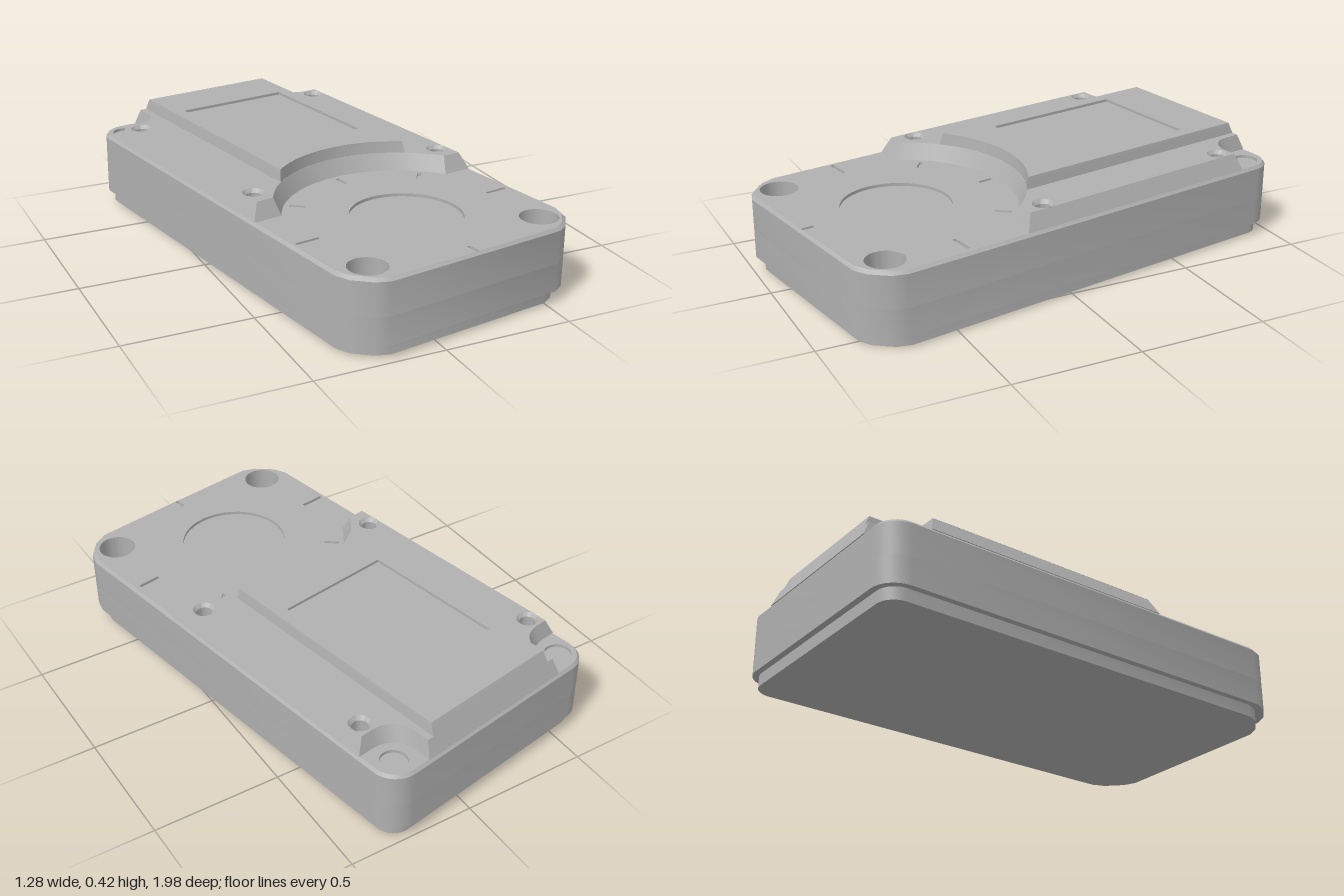
import * as THREE from 'three';
import { toCreasedNormals } from 'three/addons/utils/BufferGeometryUtils.js';

const W = 0.508, L = 0.938; // half width and half length
const DIAL = 0.535;         // z of the dial centre
const key = (x, y) => x.toFixed(4) + ',' + y.toFixed(4);

// Full symmetric outline from its +x half, listed from back to front as [x, z]
const mirror = (half) => [
  ...half,
  ...half.filter((p) => p[0] > 1e-6).reverse().map(([x, z]) => [-x, z]),
];

// Case outline: round back corners, softened chamfers at the front
function caseOutline(inset) {
  const w = W - inset, l = L - inset, r = 0.1 - inset, half = [];
  for (let i = 0; i <= 8; i++) {
    const a = (i / 8) * Math.PI / 2;
    half.push([w - r + r * Math.sin(a), -l + r - r * Math.cos(a)]);
  }
  half.push([w, l - 0.14], [w - 0.02, l - 0.085], [w - 0.08, l - 0.023], [w - 0.13, l]);
  return mirror(half);
}

// Arc around the dial, from x = xEnd to the centre line
function dialArc(radius, xEnd, n = 16) {
  const end = Math.asin(xEnd / radius), pts = [];
  for (let i = 0; i <= n; i++) {
    const a = end * (1 - i / n);
    pts.push([radius * Math.sin(a), DIAL - radius * Math.cos(a)]);
  }
  return pts;
}

// Raised deck outline: notched back corners and two arms around the dial
function deckOutline(top) {
  const s = top ? 1 : 0, half = [];
  half.push([0.335 - 0.015 * s, -0.932 + 0.027 * s]);
  for (let i = 0; i <= 6; i++) {
    const a = (i / 6) * Math.PI / 2;
    half.push([0.435 - 0.1 * Math.cos(a) - 0.015 * s, -0.86 + 0.1 * Math.sin(a) + 0.02 * s]);
  }
  const side = 0.502 - 0.03 * s;
  half.push([side, -0.76 + 0.02 * s], [side, 0.295 - 0.03 * s]);
  half.push(...(top ? dialArc(0.485, 0.4) : dialArc(0.455, 0.385)));
  return mirror(half);
}

const plateOutline = (back, x, radius) => mirror([[x, back], ...dialArc(radius, x)]);

const circle = (x, z, r) => new THREE.Path().absarc(x, -z, r, 0, Math.PI * 2, true);
const polygon = (pts) => new THREE.Path(pts.map(([x, z]) => new THREE.Vector2(x, -z)));

// Narrow radial slot around the dial; angle 0 points to the front
function slot(angle, radius, length) {
  const c = Math.cos(angle), s = Math.sin(angle);
  const corners = [[-1, -1], [-1, 1], [1, 1], [1, -1]];
  return polygon(corners.map(([i, j]) => {
    const r = radius + i * length / 2, t = j * 0.007;
    return [r * s + t * c, DIAL + r * c - t * s];
  }));
}

// Slab from y0 to y1 whose walls lean from the lower outline to the upper one
function slab(lower, upper, y0, y1, holes = []) {
  const shape = new THREE.Shape(lower.map(([x, z]) => new THREE.Vector2(x, -z)));
  shape.holes = holes;
  const geo = new THREE.ExtrudeGeometry(shape, { depth: y1 - y0, bevelEnabled: false, curveSegments: 24 });
  const target = new Map(lower.map(([x, z], i) => [key(x, -z), upper[i]]));
  const p = geo.attributes.position;
  for (let i = 0; i < p.count; i++) {
    const t = p.getZ(i) > 1e-4 && target.get(key(p.getX(i), p.getY(i)));
    if (t) p.setXY(i, t[0], -t[1]);
  }
  geo.rotateX(-Math.PI / 2).translate(0, y0, 0);
  return toCreasedNormals(geo, 0.6);
}

export function createModel() {
  const grey = new THREE.MeshStandardMaterial({ color: 0xb0b0b0, side: THREE.DoubleSide });
  grey.name = 'plain grey';
  const body = new THREE.Group();
  body.name = 'case';
  const add = (name, geo) => {
    const mesh = new THREE.Mesh(geo, grey);
    mesh.name = name;
    body.add(mesh);
    return mesh;
  };

  // Base plate and main case, with two deep holes at the front
  const outer = caseOutline(0), inner = caseOutline(0.025), rim = caseOutline(0.01);
  const frontHoles = () => [-1, 1].map((s) => circle(s * 0.388, 0.819, 0.073));
  add('basePlate', slab(inner, inner, 0, 0.05));
  add('caseFloor', slab(outer, outer, 0.05, 0.16));
  add('caseWall', slab(outer, outer, 0.16, 0.288, frontHoles()));

  // Case top with shallow dial, tick slots and corner screw recesses
  const recesses = [circle(0, DIAL, 0.21), slot(0, 0.37, 0.05), slot(Math.PI, 0.405, 0.06)];
  for (const s of [-1, 1]) {
    recesses.push(slot(s * Math.PI / 2, 0.435, 0.1), slot(s * Math.PI * 0.75, 0.405, 0.06));
    recesses.push(circle(s * 0.425, -0.85, 0.05));
  }
  add('caseTop', slab(outer, rim, 0.288, 0.3, [...frontHoles(), ...recesses]));

  // Raised deck with four screw holes
  const screws = [];
  for (const s of [-1, 1]) for (const z of [-0.688, 0.178]) screws.push([s * 0.431, z]);
  add('raisedDeck', slab(deckOutline(false), deckOutline(true), 0.3, 0.364,
    screws.map(([x, z]) => circle(x, z, 0.042))));

  // Countersunk rings inside the screw holes
  const ring = new THREE.LatheGeometry(
    [[0.03, 0.3], [0.03, 0.35], [0.042, 0.364]].map(([r, y]) => new THREE.Vector2(r, y)), 28);
  for (const [x, z] of screws) add('screwHole', toCreasedNormals(ring, 0.6)).position.set(x, 0, z);

  // Top plate with a shallow window recess
  const low = plateOutline(-0.905, 0.293, 0.485);
  const mid = plateOutline(-0.89, 0.288, 0.489);
  const high = plateOutline(-0.885, 0.286, 0.49);
  const frame = polygon([[-0.235, -0.67], [-0.235, -0.08], [0.235, -0.08], [0.235, -0.67]]);
  add('topPlate', slab(low, mid, 0.364, 0.399));
  add('windowFrame', slab(mid, high, 0.399, 0.41, [frame]));

  // The case stands turned, with a very slight roll
  body.rotation.y = 0.17;
  const model = new THREE.Group();
  model.name = 'model';
  body.position.y = 0.006;
  const roll = new THREE.Group();
  roll.name = 'rolledCase';
  roll.rotation.z = -0.0095;
  roll.add(body);
  model.add(roll);
  return model;
}
